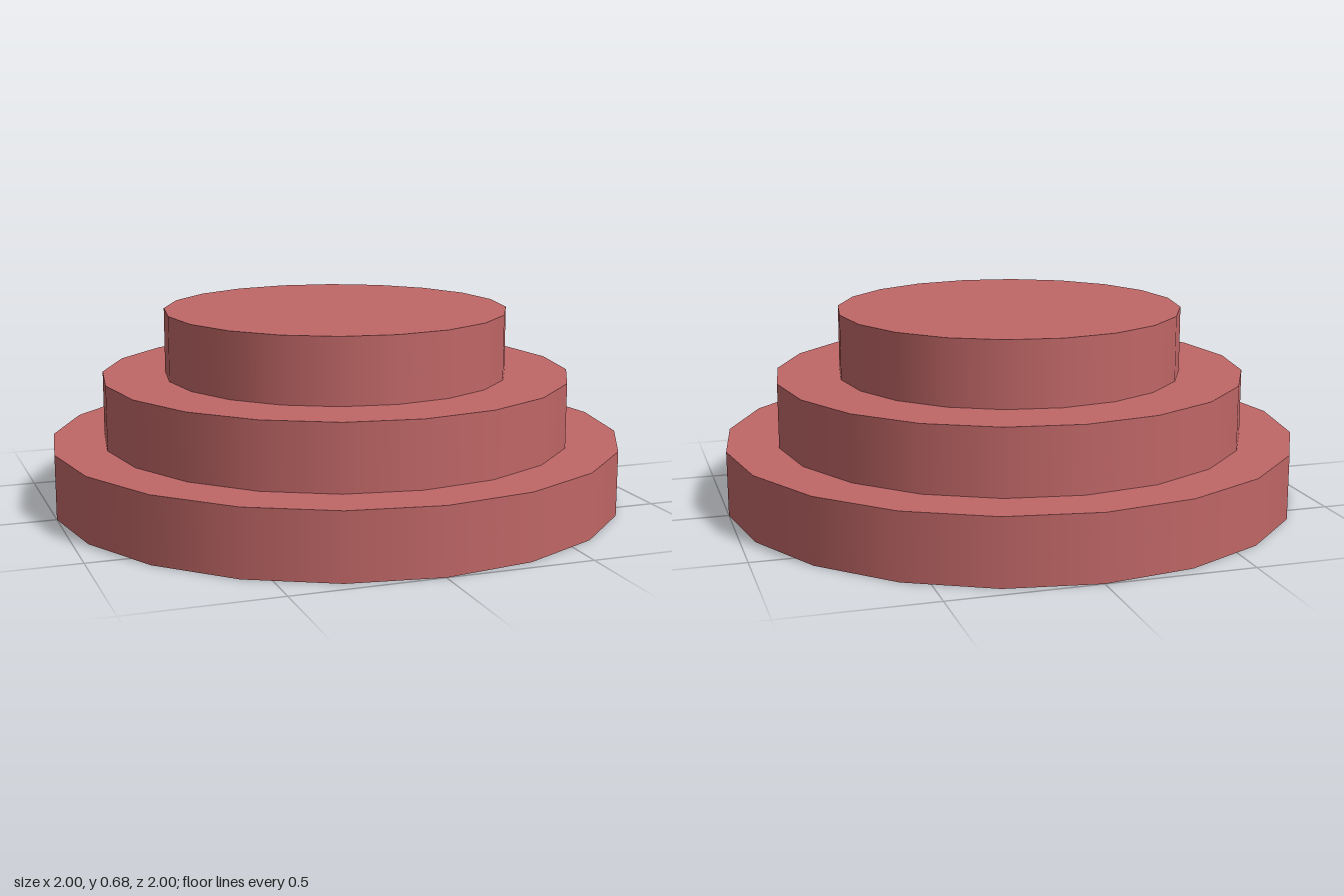
import * as THREE from 'three';

export function createModel() {
  const model = new THREE.Group();
  model.name = 'steppedRoundPlatform';

  const dustyRed = new THREE.MeshStandardMaterial({ color: 0xc06666 });
  dustyRed.name = 'dusty red';

  // Three stacked round tiers, each of equal height with twenty smooth-shaded sides
  const tierHeight = 0.225;
  const tiers = [
    ['bottomTier', 1],
    ['middleTier', 0.82],
    ['topTier', 0.6],
  ];
  tiers.forEach(([name, radius], i) => {
    const geometry = new THREE.CylinderGeometry(radius, radius, tierHeight, 20);
    const tier = new THREE.Mesh(geometry, dustyRed);
    tier.name = name;
    tier.position.y = tierHeight * (i + 0.5);
    model.add(tier);
  });

  return model;
}
